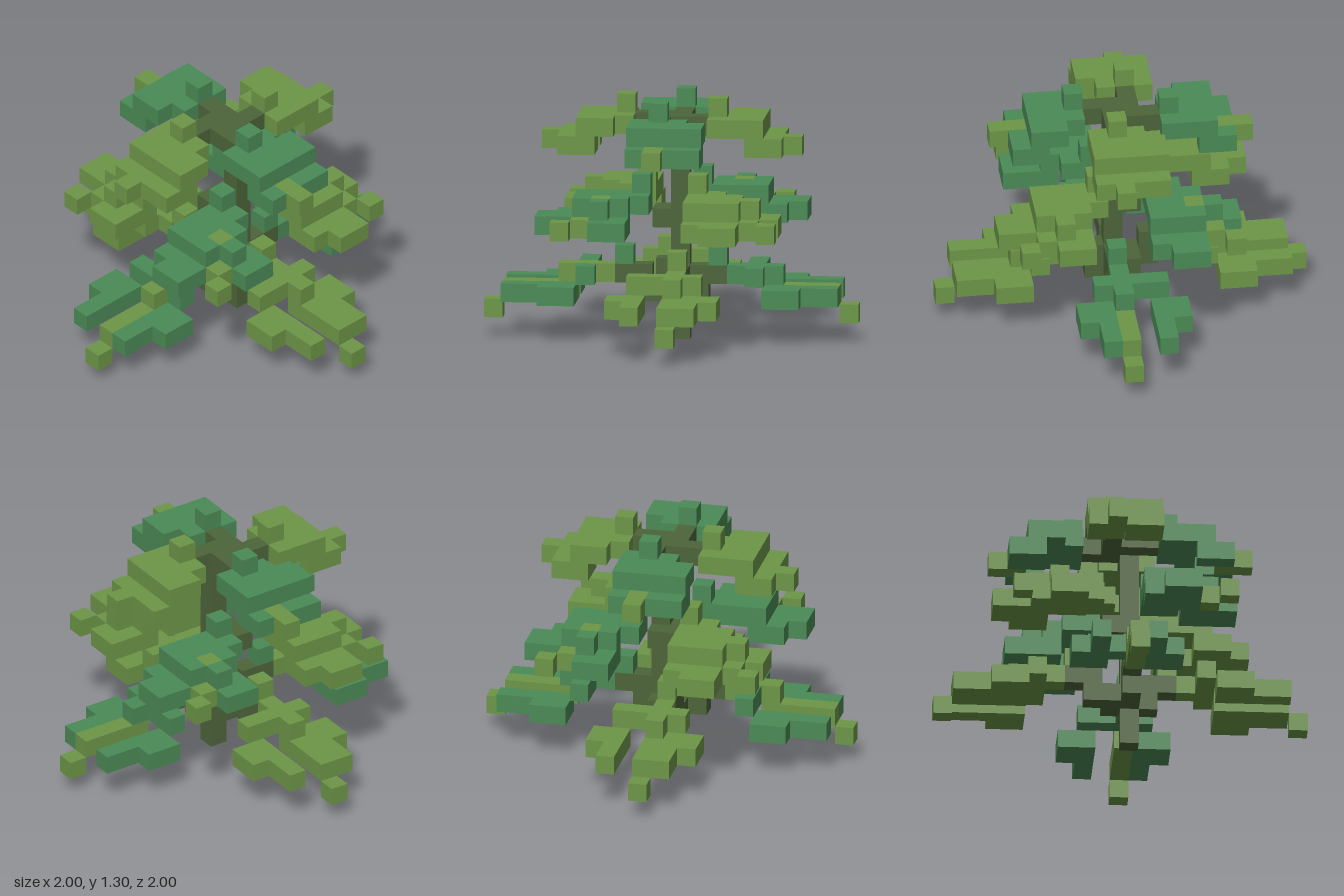
import * as THREE from 'three';
import { mergeGeometries } from 'three/addons/utils/BufferGeometryUtils.js';

const S = 0.1; // cube size

function paint(name, color) {
  const m = new THREE.MeshStandardMaterial({ color });
  m.name = name;
  return m;
}

// All cells in a block, given inclusive ranges
function block(x0, x1, y, z0, z1) {
  const out = [];
  for (let x = x0; x <= x1; x++) for (let z = z0; z <= z1; z++) out.push([x, y, z]);
  return out;
}

// Ways to turn a branch drawn towards +z (or +x+z) about the centre
const front = ([x, y, z]) => [x, y, z];
const leftward = ([x, y, z]) => [z, y, x];
const rightward = ([x, y, z]) => [-1 - z, y, x];
const back = ([x, y, z]) => [-1 - x, y, -1 - z];
const quarterBack = ([x, y, z]) => [z, y, -1 - x];

// Long drooping bottom branch
const lowLeaf = [
  ...block(-2, -2, 2, 5, 8), ...block(-3, -3, 2, 5, 6),
  ...block(1, 1, 2, 5, 8), ...block(2, 2, 2, 5, 6),
  ...block(-2, -1, 3, 4, 4), ...block(1, 1, 3, 4, 4), [0, 4, 2],
];
const lowRibInner = block(0, 0, 3, 3, 5);
const lowRibOuter = [...block(0, 0, 2, 5, 8), [0, 1, 9]];
const lowWood = [[0, 2, 1], [0, 3, 1], [0, 3, 2]];

// Diagonal middle branch
const midLeaf = [
  [1, 8, 1],
  ...block(1, 2, 7, 1, 1), ...block(1, 3, 7, 2, 2),
  ...block(1, 2, 7, 3, 3), [4, 7, 3], ...block(1, 3, 7, 4, 4),
  ...block(1, 3, 6, 4, 5), ...block(2, 3, 6, 6, 6),
  ...block(3, 5, 6, 2, 3),
];
const midRib = [[3, 7, 3], [4, 6, 4], [5, 6, 5]];

// Short top branch
const topLeaf = [
  [-1, 12, 2], ...block(-2, 0, 11, 2, 2), ...block(-2, 1, 11, 3, 4),
  ...block(-2, -2, 10, 4, 5), ...block(0, 1, 10, 4, 5),
];
const topRib = block(-1, -1, 10, 5, 6);
const topWood = [[-1, 11, 1]];

export function createModel() {
  const light = paint('light leaf green', 0x6d9648);
  const dark = paint('deep leaf green', 0x4b8a56);
  const wood = paint('mossy bark', 0x4d643a);

  const parts = [];
  const filled = new Set();
  const add = (name, material, cells, turn = front) => {
    const placed = cells.map(turn).filter((c) => !filled.has(c.join()));
    placed.forEach((c) => filled.add(c.join()));
    parts.push({ name, material, cells: placed });
  };

  // Trunk, with the crown joint and the middle stub
  const trunk = [];
  for (let y = 0; y <= 10; y++) trunk.push([0, y, 0]);
  add('trunk', wood, trunk);
  add('crownJoint', wood, block(-1, 0, 11, -1, 0));
  add('middleStub', wood, [[-1, 6, -1], [-1, 6, 0], [0, 6, -1]]);

  // Bottom tier along the axes
  const low = [
    ['Front', front, light, light], ['Back', back, light, light],
    ['Left', leftward, dark, dark], ['Right', rightward, dark, light],
  ];
  for (const [side, turn, leaf, inner] of low) {
    // The back and right arms start right beside the trunk
    const root = { Back: [[-1, 2, -1], [0, 2, -1]], Right: [[-1, 2, 0]] }[side];
    if (root) add('lowRoot' + side, wood, root);
    add('lowArm' + side, wood, lowWood, turn);
    add('lowLeaves' + side, leaf, lowLeaf, turn);
    add('lowInnerRib' + side, inner, lowRibInner, turn);
    add('lowOuterRib' + side, light, lowRibOuter, turn);
  }

  // Middle tier on the diagonals
  const mid = [
    ['FrontLeft', front, light], ['FrontRight', rightward2, dark],
    ['BackRight', back, light], ['BackLeft', quarterBack, dark],
  ];
  for (const [side, turn, leaf] of mid) {
    add('midLeaves' + side, leaf, midLeaf, turn);
    add('midRib' + side, light, midRib, turn);
  }

  // Top tier along the axes
  const top = [
    ['Front', front, dark], ['Back', back, dark],
    ['Right', rightward2, light], ['Left', quarterBack, light],
  ];
  for (const [side, turn, leaf] of top) {
    add('topArm' + side, wood, topWood, turn);
    add('topLeaves' + side, leaf, topLeaf, turn);
    add('topRib' + side, light, topRib, turn);
  }

  const group = new THREE.Group();
  group.name = 'blockTree';
  for (const { name, material, cells } of parts) {
    const faces = cells.flatMap((c) => openFaces(c, filled));
    if (!faces.length) continue;
    const mesh = new THREE.Mesh(mergeGeometries(faces), material);
    mesh.name = name;
    group.add(mesh);
  }
  return group;
}

// Quarter turn about the centre line
function rightward2([x, y, z]) {
  return [-1 - z, y, x];
}

// Faces of a cube that do not touch another cube
function openFaces([x, y, z], filled) {
  const sides = [
    [1, 0, 0], [-1, 0, 0], [0, 1, 0], [0, -1, 0], [0, 0, 1], [0, 0, -1],
  ];
  return sides
    .filter(([a, b, c]) => !filled.has([x + a, y + b, z + c].join()))
    .map(([a, b, c]) => {
      const g = new THREE.PlaneGeometry(S, S).translate(0, 0, S / 2);
      if (b) g.rotateX((-b * Math.PI) / 2);
      else g.rotateY(Math.atan2(a, c));
      return g.translate((x + 0.5) * S, (y + 0.5) * S, (z + 0.5) * S);
    });
}
